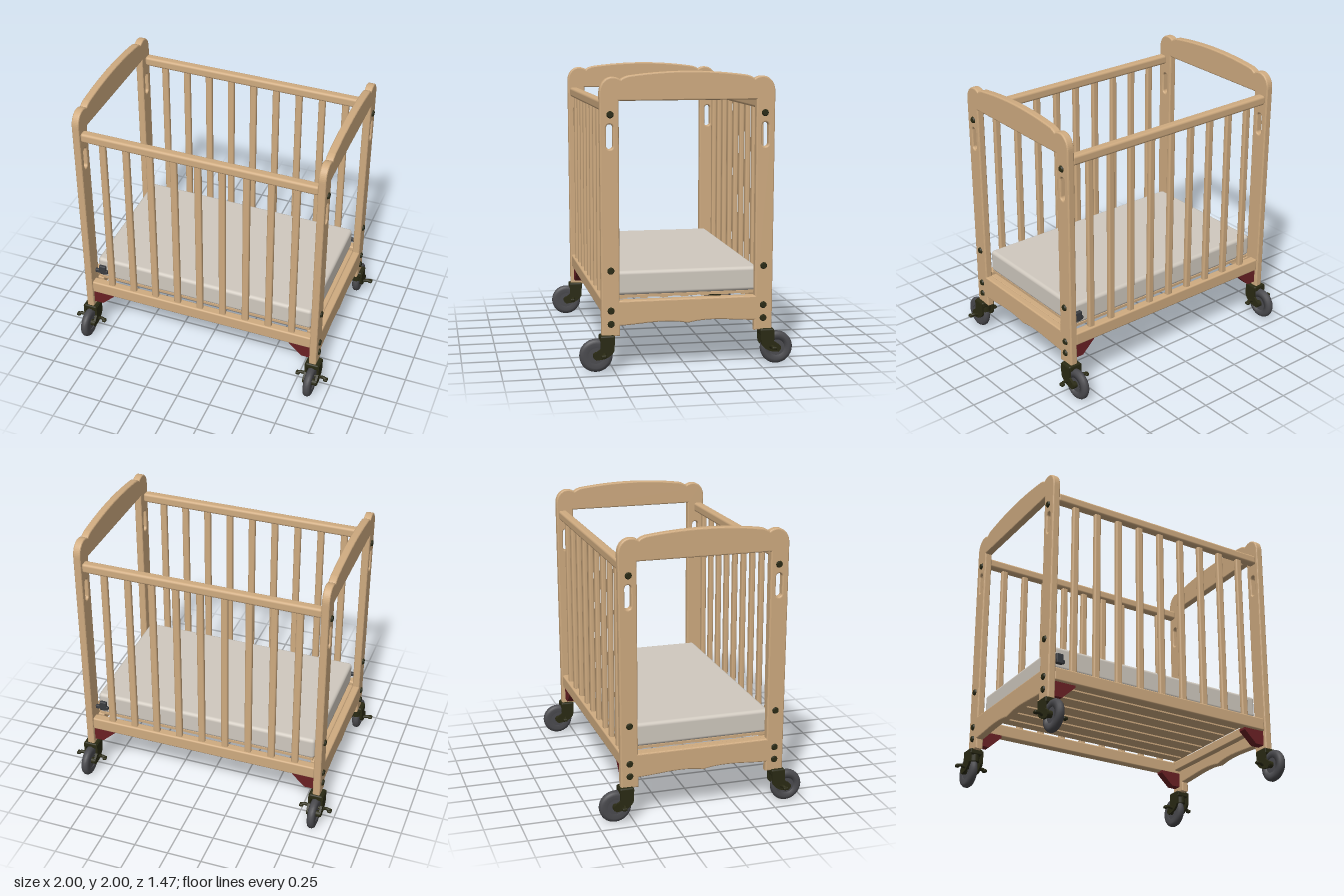
import * as THREE from 'three';
import { RoundedBoxGeometry } from 'three/addons/geometries/RoundedBoxGeometry.js';

const paint = (name, color) => {
  const m = new THREE.MeshStandardMaterial({ color });
  m.name = name;
  return m;
};

export function createModel() {
  const wood = paint('maple wood', 0xcfab80);
  const fabric = paint('mattress fabric', 0xd0c9bf);
  const rubber = paint('grey rubber', 0x4b4b4f);
  const metal = paint('dark olive metal', 0x2a2a14);
  const plastic = paint('charcoal plastic', 0x3a3c40);
  const red = paint('dark red bracket', 0x6a2024);

  const model = new THREE.Group();
  model.name = 'crib';
  const add = (parent, name, geometry, material, x = 0, y = 0, z = 0) => {
    const mesh = new THREE.Mesh(geometry, material);
    mesh.name = name;
    mesh.position.set(x, y, z);
    parent.add(mesh);
    return mesh;
  };
  const round = (w, h, d, r) => new RoundedBoxGeometry(w, h, d, 3, r);

  // End frames: posts, arched head rail and wavy foot rail in one outline
  const outline = new THREE.Shape();
  outline.moveTo(-0.585, 0.24);
  outline.lineTo(-0.46, 0.24);
  outline.lineTo(-0.46, 0.31);
  outline.bezierCurveTo(-0.3, 0.315, -0.16, 0.345, 0, 0.31);
  outline.bezierCurveTo(0.16, 0.345, 0.3, 0.315, 0.46, 0.31);
  outline.lineTo(0.46, 0.24);
  outline.lineTo(0.585, 0.24);
  outline.lineTo(0.592, 1.86);
  outline.bezierCurveTo(0.592, 1.93, 0.545, 1.965, 0.505, 1.965);
  outline.quadraticCurveTo(0.475, 1.965, 0.45, 1.948);
  outline.quadraticCurveTo(0.435, 1.962, 0.4, 1.972);
  outline.quadraticCurveTo(0.2, 2, 0, 2);
  outline.quadraticCurveTo(-0.2, 2, -0.4, 1.972);
  outline.quadraticCurveTo(-0.435, 1.962, -0.45, 1.948);
  outline.quadraticCurveTo(-0.475, 1.965, -0.505, 1.965);
  outline.bezierCurveTo(-0.545, 1.965, -0.592, 1.93, -0.592, 1.86);
  outline.closePath();

  const opening = new THREE.Path();
  opening.moveTo(-0.463, 0.48);
  opening.lineTo(-0.463, 1.808);
  opening.lineTo(0.463, 1.808);
  opening.lineTo(0.463, 0.48);
  opening.closePath();
  outline.holes.push(opening);
  for (const s of [-1, 1]) {
    const slot = new THREE.Path();
    slot.absarc(s * 0.525, 1.635, 0.022, 0, Math.PI);
    slot.absarc(s * 0.525, 1.515, 0.022, Math.PI, 2 * Math.PI);
    slot.closePath();
    outline.holes.push(slot);
  }
  const bevel = 0.01;
  const endGeometry = new THREE.ExtrudeGeometry(outline, {
    depth: 0.054 - 2 * bevel, bevelThickness: bevel, bevelSize: bevel,
    bevelOffset: -bevel, bevelSegments: 3, curveSegments: 14,
  });
  endGeometry.translate(0, 0, -0.027 + bevel).rotateY(-Math.PI / 2);

  const boltGeometry = new THREE.CylinderGeometry(0.018, 0.025, 0.014, 14).rotateZ(-Math.PI / 2);
  for (const s of [-1, 1]) {
    const end = new THREE.Group();
    end.name = s > 0 ? 'leftEnd' : 'rightEnd';
    end.rotation.y = s > 0 ? 0 : Math.PI;
    model.add(end);
    add(end, 'endFrame', endGeometry, wood, 0.879);
    for (const z of [-0.522, 0.522])
      for (const y of [0.325, 0.415, 0.685, 1.72])
        add(end, 'bolt', boltGeometry, metal, 0.911, y, z);
    add(end, 'innerEndRail', round(0.05, 0.07, 0.98, 0.008), wood, 0.825, 0.435, 0);
  }

  // Slatted sides
  for (const s of [-1, 1]) {
    const side = new THREE.Group();
    side.name = s > 0 ? 'frontSide' : 'backSide';
    side.position.z = s * 0.545;
    model.add(side);
    add(side, 'topRail', round(1.71, 0.07, 0.065, 0.018), wood, 0, 1.773);
    add(side, 'bottomRail', round(1.71, 0.095, 0.065, 0.012), wood, 0, 0.433);
    for (let i = -4; i <= 4; i++)
      add(side, 'slat', round(0.05, 1.28, 0.036, 0.012), wood, i * 0.1755, 1.11);
  }

  // Mattress and its slatted platform
  add(model, 'mattress', round(1.66, 0.165, 1.015, 0.025), fabric, 0, 0.583);
  add(model, 'platform', new THREE.BoxGeometry(1.64, 0.018, 1.0), wood, 0, 0.492);
  for (let i = -3; i <= 3; i++)
    add(model, 'platformBatten', new THREE.BoxGeometry(1.6, 0.012, 0.05), wood, 0, 0.478, i * 0.14);

  // Mattress clips at two opposite corners
  for (const s of [-1, 1]) {
    const clip = new THREE.Group();
    clip.name = 'clip';
    clip.position.set(-s * 0.79, 0, s * 0.515);
    model.add(clip);
    add(clip, 'clipBody', round(0.055, 0.075, 0.03, 0.01), plastic, 0, 0.572);
    add(clip, 'clipTab', round(0.1, 0.03, 0.025, 0.008), plastic, -s * 0.01, 0.555);
  }

  // Corner brackets under the side rails
  const gusset = new THREE.Shape();
  gusset.moveTo(0.852, 0.388);
  gusset.lineTo(0.69, 0.388);
  gusset.lineTo(0.69, 0.37);
  gusset.lineTo(0.785, 0.28);
  gusset.lineTo(0.852, 0.28);
  gusset.closePath();
  const gussetGeometry = new THREE.ExtrudeGeometry(gusset, { depth: 0.06, bevelEnabled: false });
  gussetGeometry.translate(0, 0, -0.03);
  for (const sx of [-1, 1])
    for (const sz of [-1, 1])
      add(model, 'cornerBracket', gussetGeometry, red, 0, 0, sz * 0.53).rotation.y = sx > 0 ? 0 : Math.PI;

  // Casters: tyre, hub, forked housing and two-sided brake pedal
  const tyreProfile = [
    [0.055, -0.024], [0.085, -0.028], [0.103, -0.022], [0.112, -0.009],
    [0.112, 0.009], [0.103, 0.022], [0.085, 0.028], [0.055, 0.024], [0.055, -0.024],
  ].map(([r, y]) => new THREE.Vector2(r, y));
  const tyreGeometry = new THREE.LatheGeometry(tyreProfile, 32).rotateZ(Math.PI / 2);
  const hubGeometry = new THREE.CylinderGeometry(0.058, 0.058, 0.036, 24).rotateZ(Math.PI / 2);
  const axleGeometry = new THREE.CylinderGeometry(0.024, 0.024, 0.1, 16).rotateZ(Math.PI / 2);
  const fork = new THREE.Shape();
  fork.moveTo(0.5, 0.24);
  fork.lineTo(0.505, 0.15);
  fork.quadraticCurveTo(0.52, 0.115, 0.57, 0.095);
  fork.lineTo(0.625, 0.088);
  fork.quadraticCurveTo(0.655, 0.115, 0.625, 0.142);
  fork.lineTo(0.595, 0.165);
  fork.lineTo(0.595, 0.24);
  fork.closePath();
  const forkGeometry = new THREE.ExtrudeGeometry(fork, { depth: 0.016, bevelEnabled: false });
  forkGeometry.translate(0, 0, -0.008).rotateY(-Math.PI / 2);
  const pedalPath = new THREE.CatmullRomCurve3([
    [-0.115, 0.125, 0.585], [-0.085, 0.135, 0.575], [-0.05, 0.125, 0.57], [0, 0.125, 0.57],
    [0.05, 0.125, 0.57], [0.085, 0.135, 0.575], [0.115, 0.125, 0.585],
  ].map((p) => new THREE.Vector3(...p)));
  const pedalGeometry = new THREE.TubeGeometry(pedalPath, 24, 0.012, 8);

  for (const sx of [-1, 1])
    for (const sz of [-1, 1]) {
      const caster = new THREE.Group();
      caster.name = 'caster';
      caster.position.x = sx * 0.88;
      caster.rotation.y = sz > 0 ? 0 : Math.PI;
      model.add(caster);
      add(caster, 'tyre', tyreGeometry, rubber, 0, 0.112, 0.622);
      add(caster, 'hub', hubGeometry, rubber, 0, 0.112, 0.622);
      add(caster, 'axle', axleGeometry, metal, 0, 0.115, 0.622);
      add(caster, 'housing', round(0.1, 0.045, 0.1, 0.012), metal, 0, 0.228, 0.548);
      add(caster, 'stem', new THREE.CylinderGeometry(0.035, 0.035, 0.08, 16), metal, 0, 0.2, 0.535);
      for (const x of [-0.046, 0.046]) add(caster, 'forkCheek', forkGeometry, metal, x);
      add(caster, 'brakePedal', pedalGeometry, metal);
      for (const x of [-0.105, 0.105])
        add(caster, 'pedalPad', round(0.03, 0.022, 0.035, 0.008), metal, x, 0.128, 0.582);
    }

  return model;
}
